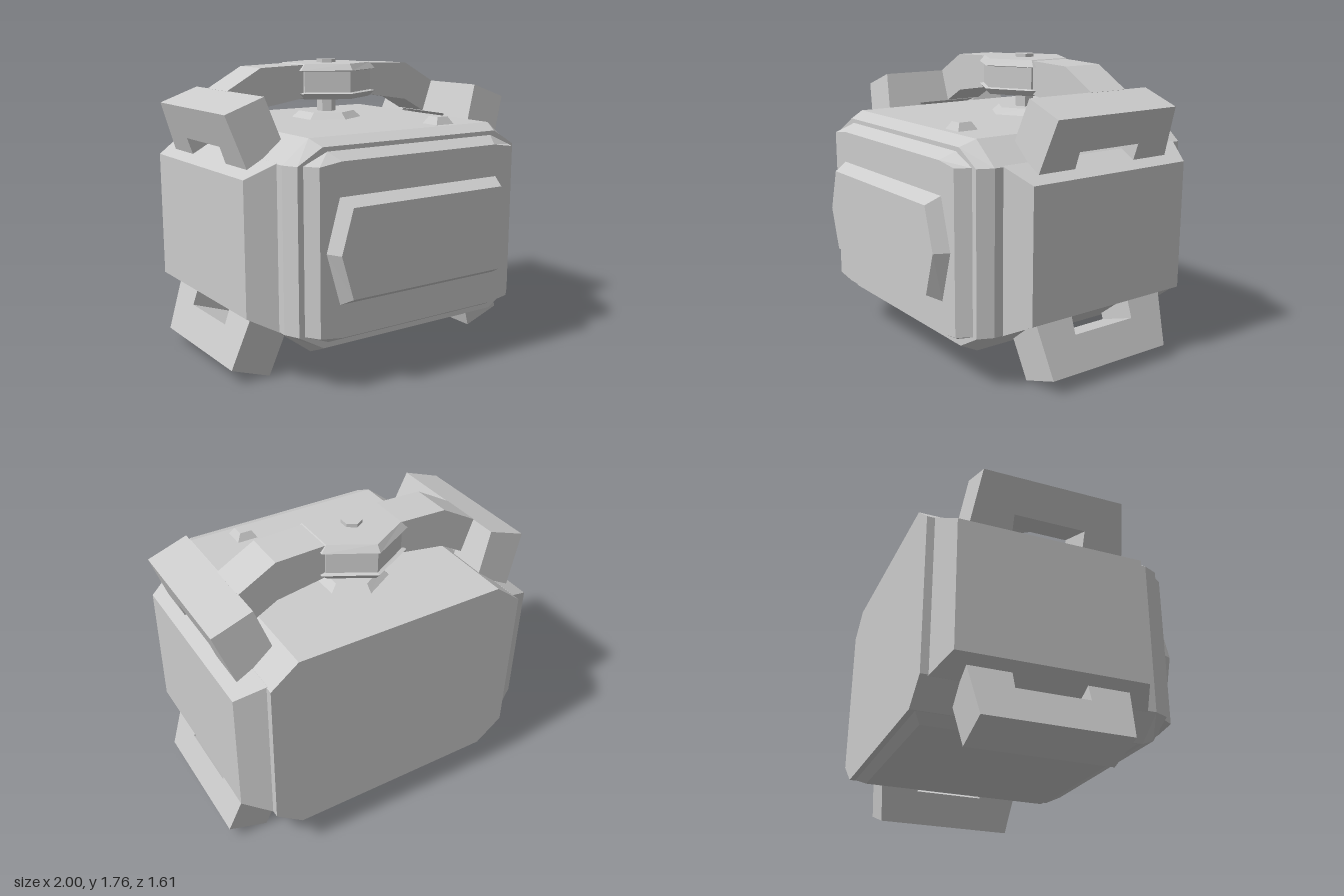
import * as THREE from 'three';

const mat = new THREE.MeshStandardMaterial({ color: 0xcccccc, flatShading: true });

// Loft convex 2D rings (counter-clockwise) stacked along local z, capped at both ends.
function loft(name, layers) {
  const pos = [];
  const rings = layers.map(([pts, z]) => pts.map(([x, y]) => [x, y, z]));
  const tri = (a, b, c) => pos.push(...a, ...b, ...c);
  const n = rings[0].length;
  for (let r = 0; r + 1 < rings.length; r++) {
    const a = rings[r], b = rings[r + 1];
    for (let i = 0; i < n; i++) {
      const j = (i + 1) % n;
      tri(a[i], a[j], b[j]);
      tri(a[i], b[j], b[i]);
    }
  }
  const first = rings[0], last = rings[rings.length - 1];
  for (let i = 1; i + 1 < n; i++) {
    tri(first[0], first[i + 1], first[i]);
    tri(last[0], last[i], last[i + 1]);
  }
  const g = new THREE.BufferGeometry();
  g.setAttribute('position', new THREE.Float32BufferAttribute(pos, 3));
  g.computeVertexNormals();
  const m = new THREE.Mesh(g, mat);
  m.name = name;
  return m;
}

const rect = (w, h) => [[w, -h], [w, h], [-w, h], [-w, -h]];
const hex = (rx, ry) => [[0, ry], [-rx, ry / 2], [-rx, -ry / 2], [0, -ry], [rx, -ry / 2], [rx, ry / 2]];
// Rectangle with cut corners: half width, flat half width, bottom, top
const octagon = (w, f, y0, y1) => [
  [f, y0], [w, 0.34], [w, 1.27], [f, y1], [-f, y1], [-w, 1.27], [-w, 0.34], [-f, y0]];
const hexPlate = (w, f, h) => [[f, 0.805 - h], [w, 0.805], [f, 0.805 + h], [-f, 0.805 + h], [-w, 0.805], [-f, 0.805 - h]];

function extrude(name, pts, depth) {
  const shape = new THREE.Shape(pts.map(([x, y]) => new THREE.Vector2(x, y)));
  const g = new THREE.ExtrudeGeometry(shape, { depth, bevelEnabled: false });
  const m = new THREE.Mesh(g, mat);
  m.name = name;
  return m;
}

export function createModel() {
  const model = new THREE.Group();
  model.name = 'lantern';

  // Main housing with stepped front rim
  model.add(loft('body', [
    [octagon(0.805, 0.64, 0.21, 1.4), -0.805],
    [octagon(0.805, 0.64, 0.21, 1.4), 0.55],
    [octagon(0.765, 0.61, 0.25, 1.36), 0.64],
    [octagon(0.73, 0.58, 0.28, 1.335), 0.64],
    [octagon(0.68, 0.54, 0.32, 1.29), 0.72],
  ]));
  model.add(loft('frontPanel', [
    [hexPlate(0.64, 0.555, 0.295), 0.71],
    [hexPlate(0.64, 0.555, 0.295), 0.72],
    [hexPlate(0.6, 0.525, 0.25), 0.805],
  ]));

  // Bevelled side plates
  for (const s of [1, -1]) {
    const plate = loft('sidePlate', [[rect(0.63, 0.47), 0.79], [rect(0.63, 0.47), 0.8], [rect(0.552, 0.383), 0.965]]);
    plate.rotation.y = s * Math.PI / 2;
    plate.position.set(0, 0.805, -0.132);
    model.add(plate);
  }

  // Base plate
  const base = loft('basePlate', [[rect(0.63, 0.645), 0], [rect(0.55, 0.595), 0.04]]);
  base.rotation.x = Math.PI / 2;
  base.position.set(0, 0.21, -0.125);
  model.add(base);

  // Four slanted U-shaped corner brackets, one design turned into each corner
  const tilt = 0.34;
  const u = [[-0.465, -0.32], [-0.215, -0.32], [-0.215, -0.21], [0.215, -0.21],
    [0.215, -0.32], [0.465, -0.32], [0.425, 0], [-0.425, 0]];
  const turns = [[0, 0, 0], [0, Math.PI, 0], [Math.PI, 0, 0], [0, 0, Math.PI]];
  for (const turn of turns) {
    const corner = new THREE.Group();
    corner.name = 'cornerBracket';
    const bracket = extrude('bracket', u, 0.255);
    const s = Math.sin(tilt), c = Math.cos(tilt);
    bracket.applyMatrix4(new THREE.Matrix4().makeBasis(
      new THREE.Vector3(0, 0, 1), new THREE.Vector3(s, c, 0), new THREE.Vector3(-c, s, 0)
    ).setPosition(1, 0.715, 0));
    corner.add(bracket);
    corner.position.set(0, 0.805, -0.13);
    corner.rotation.set(...turn);
    model.add(corner);
  }

  // Arched carrying handle between the upper brackets
  const half = [[0.24, 1.54], [0.54, 1.493], [0.69, 1.41], [0.765, 1.604], [0.54, 1.73], [0.24, 1.74]];
  const handle = extrude('handle', [...half, ...half.map(([x, y]) => [-x, y]).reverse()], 0.255);
  handle.position.z = -0.39;
  model.add(handle);

  // Hexagonal knob, its stem, foot and button
  const knob = new THREE.Group();
  knob.name = 'knob';
  knob.add(
    loft('foot', [[hex(0.19, 0.22), 1.39], [hex(0.19, 0.22), 1.4], [hex(0.15, 0.175), 1.44]]),
    loft('stem', [[hex(0.05, 0.06), 1.43], [hex(0.05, 0.06), 1.54]]),
    loft('hub', [
      [hex(0.235, 0.265), 1.53], [hex(0.275, 0.295), 1.565], [hex(0.245, 0.275), 1.572],
      [hex(0.245, 0.275), 1.7], [hex(0.275, 0.295), 1.705], [hex(0.24, 0.265), 1.745]]),
    loft('button', [[hex(0.052, 0.062), 1.74], [hex(0.052, 0.062), 1.765]]),
  );
  knob.rotation.x = -Math.PI / 2;
  knob.position.z = -0.26;
  model.add(knob);

  // Small switch on top
  const toggle = loft('switch', [[rect(0.065, 0.065), 0], [rect(0.038, 0.04), 0.045]]);
  toggle.rotation.x = -Math.PI / 2;
  toggle.position.set(0.34, 1.4, 0.442);
  model.add(toggle);

  return model;
}
